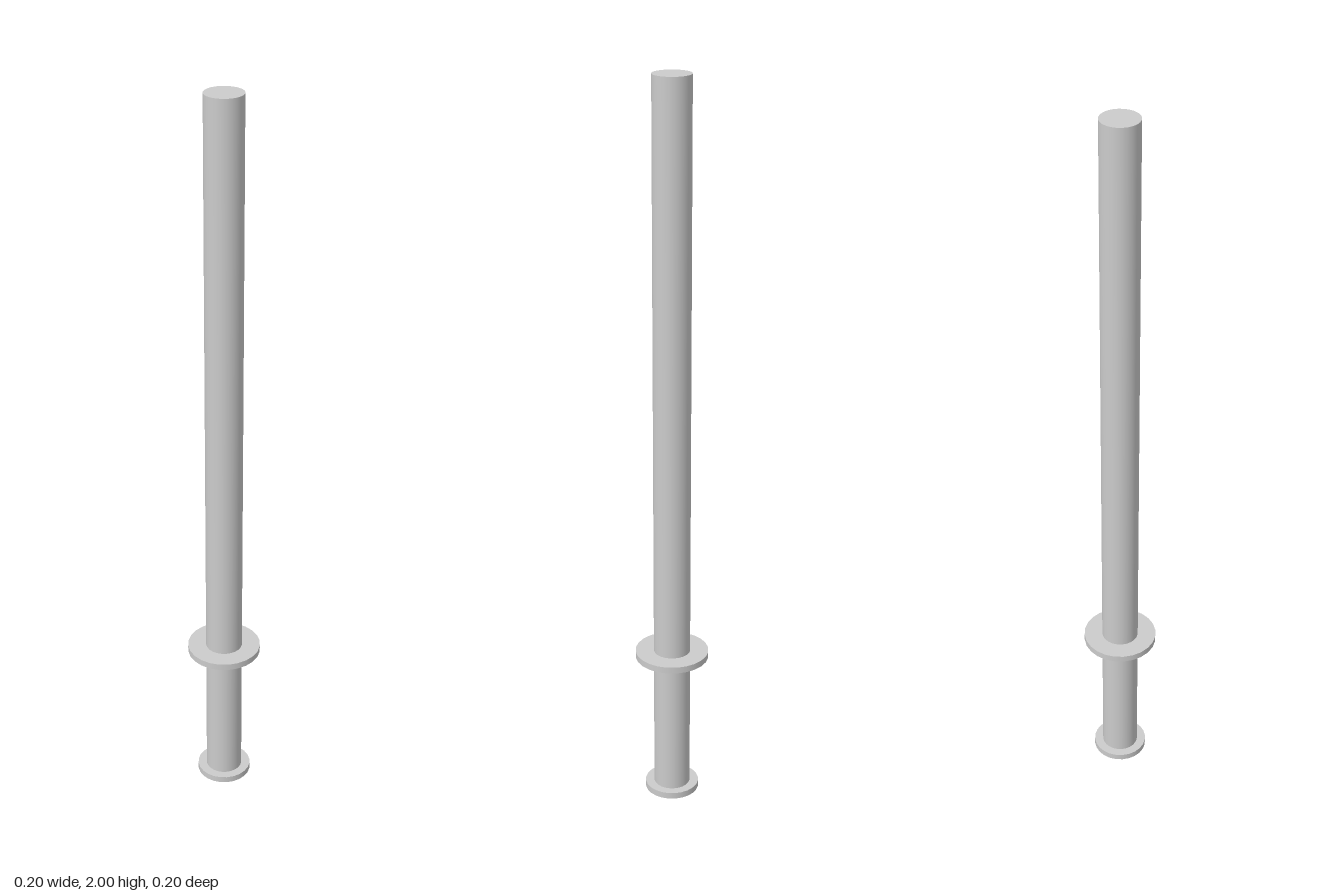
import * as THREE from 'three';

export function createModel() {
  const model = new THREE.Group();
  const material = new THREE.MeshStandardMaterial({ color: 0xcccccc });

  // Upright round part spanning two heights
  function addRound(name, radius, bottom, top, sides) {
    const geometry = new THREE.CylinderGeometry(radius, radius, top - bottom, sides);
    const mesh = new THREE.Mesh(geometry, material);
    mesh.name = name;
    mesh.position.y = (bottom + top) / 2;
    model.add(mesh);
  }

  addRound('pommel', 0.074, 0, 0.018, 24);
  addRound('grip', 0.05, 0.018, 0.418, 24);
  addRound('guard', 0.1, 0.418, 0.436, 24);
  addRound('blade', 0.05, 0.436, 2, 24);

  return model;
}
